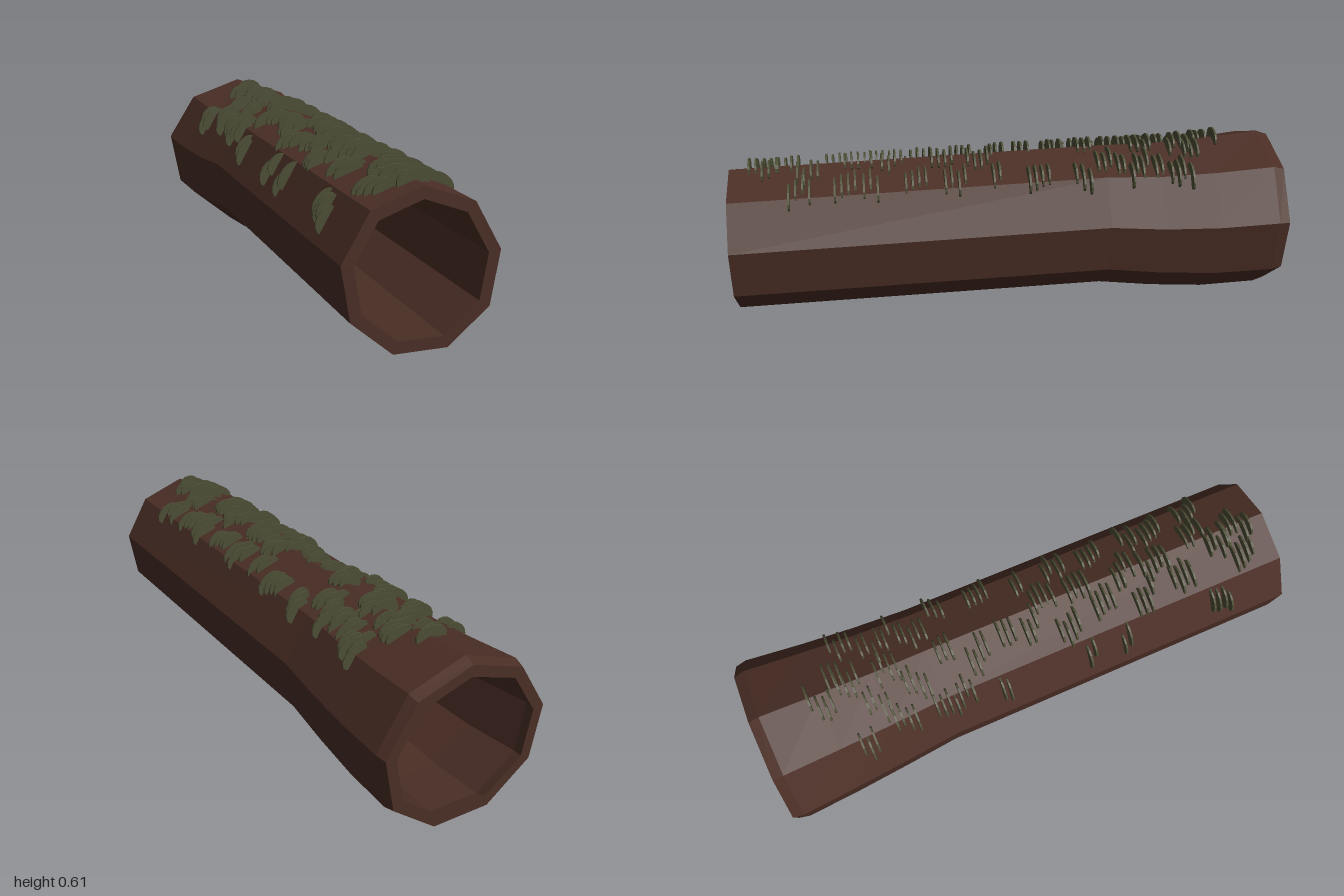
import * as THREE from 'three';

const SIDES = 9;
const STEP = (Math.PI * 2) / SIDES;

// outer skin, front to back: z, half width radius, top y, bottom y
const OUTER = [
  [1, 0.262, 0.533, 0.025],
  [-0.35, 0.266, 0.56, 0.038],
  [-0.55, 0.283, 0.558, 0.014],
  [-0.75, 0.301, 0.57, 0.0],
  [-0.96, 0.32, 0.588, 0.008],
  [-1, 0.312, 0.574, 0.02],
];
const WALL = 0.041;

// a ring's centre height and radii, from its top and bottom
function ring([z, rx, top, bottom], inset = 0) {
  const ry = (top - bottom) / (1 + Math.cos(STEP / 2));
  return { z, rx: rx - inset, ry: ry - inset, cy: top - ry };
}

function ringPoint(r, angle) {
  return [r.rx * Math.sin(angle), r.cy + r.ry * Math.cos(angle), r.z];
}

// nine-sided hollow trunk: out along the skin, over the rim, back inside
function logGeometry() {
  const rings = [
    ...OUTER.map((s) => ring(s)),
    ...OUTER.slice().reverse().map((s) => ring(s, WALL)),
  ];
  const pos = [];
  rings.forEach((r, j) => {
    const next = rings[(j + 1) % rings.length];
    for (let i = 0; i < SIDES; i++) {
      const a = ringPoint(r, i * STEP);
      const b = ringPoint(r, (i + 1) * STEP);
      const c = ringPoint(next, (i + 1) * STEP);
      const d = ringPoint(next, i * STEP);
      pos.push(...a, ...b, ...d, ...b, ...c, ...d);
    }
  });
  const g = new THREE.BufferGeometry();
  g.setAttribute('position', new THREE.Float32BufferAttribute(pos, 3));
  g.computeVertexNormals();
  return g;
}

// point on the faceted skin at an angle from the top
function skinPoint(angle, z) {
  let k = 0;
  while (k < OUTER.length - 2 && z < OUTER[k + 1][0]) k++;
  const t = (z - OUTER[k][0]) / (OUTER[k + 1][0] - OUTER[k][0]);
  const r = ring(OUTER[k].map((v, n) => THREE.MathUtils.lerp(v, OUTER[k + 1][n], t)));
  const side = Math.floor(angle / STEP);
  const p = new THREE.Vector3(...ringPoint(r, side * STEP));
  return p.lerp(new THREE.Vector3(...ringPoint(r, (side + 1) * STEP)), angle / STEP - side);
}

// moss clumps: degrees from the top (toward +x), z of the middle, leaves
const CLUMPS = [
  [-20, 0.87, 4], [0, 0.88, 5], [-8, 0.79, 4], [-55, 0.74, 4], [32, 0.75, 4], [10, 0.72, 4],
  [-22, 0.62, 4], [30, 0.59, 4], [-4, 0.54, 5], [28, 0.5, 3], [-24, 0.46, 4], [2, 0.42, 4],
  [-56, 0.35, 2], [28, 0.34, 4], [-18, 0.31, 4], [-2, 0.24, 4], [30, 0.2, 4], [-54, 0.21, 2],
  [-24, 0.16, 4], [4, 0.11, 4], [-12, 0.03, 3], [28, 0.05, 2], [-6, -0.06, 3], [32, -0.1, 4],
  [-54, -0.13, 2], [-18, -0.18, 4], [38, -0.26, 3], [-38, -0.27, 3], [0, -0.29, 3],
  [-46, -0.35, 4], [22, -0.36, 4], [-20, -0.42, 4], [32, -0.44, 3], [-42, -0.5, 4],
  [4, -0.5, 4], [24, -0.52, 4], [-22, -0.57, 4], [34, -0.62, 4], [-50, -0.65, 3],
  [0, -0.64, 4], [16, -0.68, 3], [-6, -0.75, 4],
];

function seeded(seed) {
  return () => (seed = (seed * 16807) % 2147483647) / 2147483647;
}

export function createModel() {
  const model = new THREE.Group();
  model.name = 'mossyLog';

  const bark = new THREE.MeshStandardMaterial({ color: 0x4a2e25, flatShading: true });
  const green = new THREE.MeshStandardMaterial({ color: 0x4b4d34, flatShading: true });

  const log = new THREE.Mesh(logGeometry(), bark);
  log.name = 'hollowLog';
  model.add(log);

  // thin upright discs half sunk in the bark, in short overlapping rows
  const moss = new THREE.Group();
  moss.name = 'moss';
  const leafGeometry = new THREE.CylinderGeometry(1, 1, 0.007, 14).rotateX(Math.PI / 2);
  const rand = seeded(4217);
  for (const [degrees, z, count] of CLUMPS) {
    for (let i = 0; i < count; i++) {
      const angle = THREE.MathUtils.degToRad(degrees + (rand() - 0.5) * 14);
      const leaf = new THREE.Mesh(leafGeometry, green);
      leaf.name = 'mossLeaf';
      leaf.position.copy(skinPoint(angle, z + (i - (count - 1) / 2) * 0.024));
      leaf.rotation.z = -angle;
      leaf.scale.set(0.045 + rand() * 0.012, 0.03 + rand() * 0.008, 1);
      moss.add(leaf);
    }
  }
  model.add(moss);
  return model;
}
